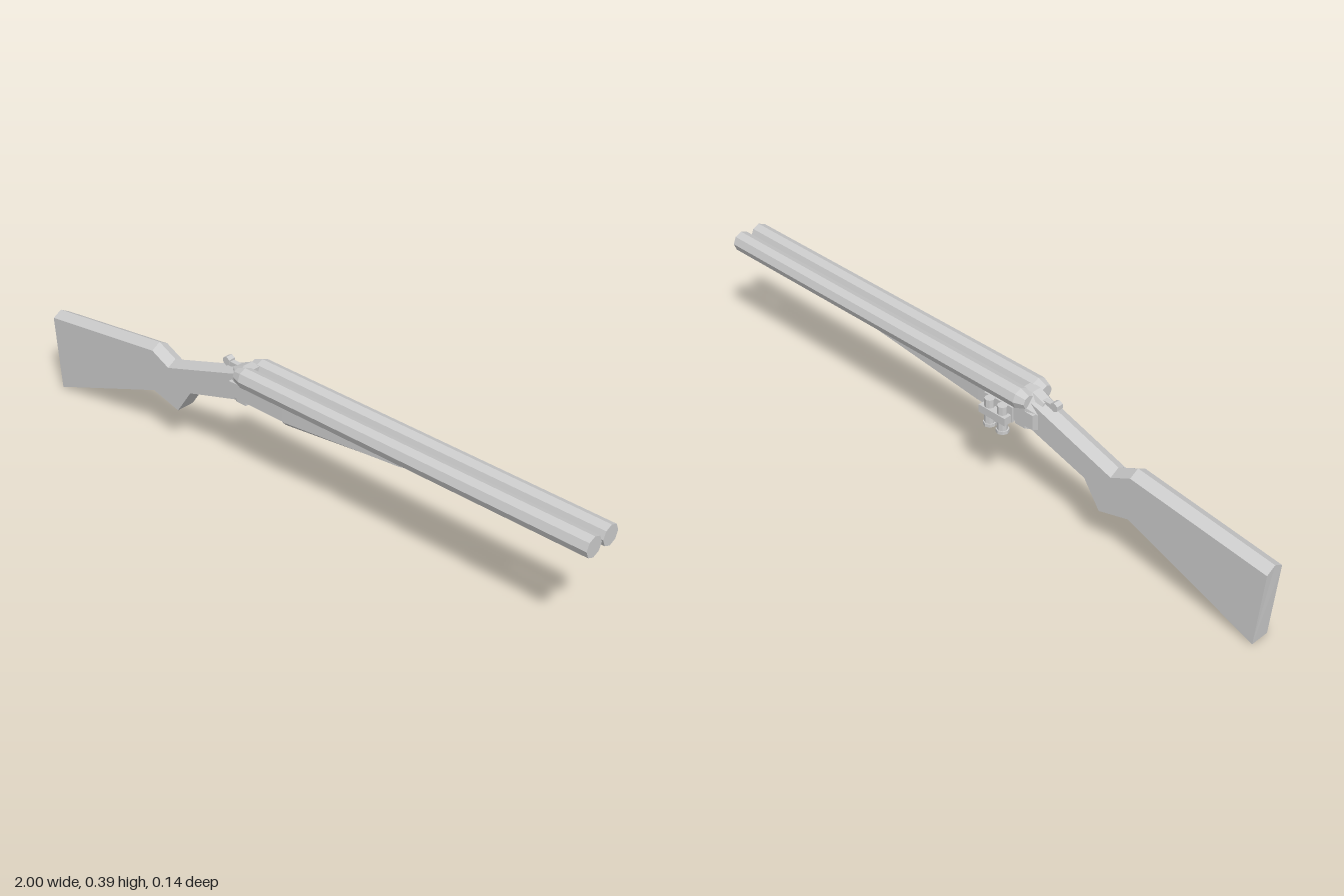
import * as THREE from 'three';

const CZ = 0.007; // centre plane of the gun
const mat = new THREE.MeshStandardMaterial({ color: 0xcccccc, flatShading: true });

export function createModel() {
  const group = new THREE.Group();

  const add = (name, geometry, x = 0, y = 0, z = 0) => {
    const mesh = new THREE.Mesh(geometry, mat);
    mesh.name = name;
    mesh.position.set(x, y, z);
    group.add(mesh);
    return mesh;
  };
  const box = (name, x0, x1, y0, y1, z0, z1) =>
    add(name, new THREE.BoxGeometry(x1 - x0, y1 - y0, z1 - z0),
      (x0 + x1) / 2, (y0 + y1) / 2, (z0 + z1) / 2);

  // Joins closed cross-sections that follow one another along +x, with end caps
  const loft = (sections) => {
    const n = sections[0].length, index = [];
    sections.slice(1).forEach((_, s) => {
      for (let i = 0; i < n; i++) {
        const a = s * n + i, b = s * n + (i + 1) % n;
        index.push(a, a + n, b, b, a + n, b + n);
      }
    });
    const last = (sections.length - 1) * n;
    for (let i = 1; i < n - 1; i++) {
      index.push(0, i, i + 1, last, last + i + 1, last + i);
    }
    const g = new THREE.BufferGeometry();
    g.setAttribute('position', new THREE.Float32BufferAttribute(sections.flat(2), 3));
    g.setIndex(index);
    const flat = g.toNonIndexed();
    flat.computeVertexNormals();
    return flat;
  };

  // Stock: slab sides with a low ridge along the top
  const stockSection = ([xt, yt, xb, yb]) => {
    const w = 0.03, side = yt - 0.017;
    return [[xb, yb, -w], [xb, yb, w], [xt, side, w], [xt, yt, 0], [xt, side, -w]];
  };
  add('stock', loft([
    [-1, 0.253, -0.98, 0],
    [-0.555, 0.31, -0.555, 0.16],
    [-0.49, 0.278, -0.455, 0.132],
    [-0.4, 0.307, -0.4, 0.212],
    [-0.2, 0.372, -0.2, 0.272],
  ].map(stockSection)), 0, 0, CZ);

  // Breech: flares out from the wrist to the barrels
  const breechSection = ([x, y0, y1, w, top]) => [
    [x, y0, -w], [x, y0, w], [x, y1 - 0.035, w], [x, y1, top], [x, y1, -top], [x, y1 - 0.035, -w],
  ];
  add('breech', loft([
    [-0.235, 0.28, 0.36, 0.028, 0.014],
    [-0.195, 0.275, 0.378, 0.045, 0.016],
    [-0.16, 0.275, 0.378, 0.045, 0.016],
  ].map(breechSection)), 0, 0, CZ);

  // Receiver and fore-end: chamfered underside, narrowing to the tip
  const foreSection = ([x, y0, y1, top, bottomW, sideW]) => [
    [x, y0, -bottomW], [x, y0, bottomW], [x, y1, sideW],
    [x, top, sideW], [x, top, -sideW], [x, y1, -sideW],
  ];
  add('receiver', loft([
    [-0.225, 0.277, 0.284, 0.33, 0.03, 0.045],
    [-0.02, 0.277, 0.284, 0.335, 0.03, 0.045],
  ].map(foreSection)), 0, 0, CZ);
  add('foreEnd', loft([
    [-0.02, 0.266, 0.282, 0.335, 0.03, 0.045],
    [0.39, 0.303, 0.313, 0.338, 0.018, 0.034],
    [0.425, 0.311, 0.318, 0.338, 0.013, 0.026],
  ].map(foreSection)), 0, 0, CZ);

  // Twin eight-sided barrels with chamfered rear ends
  const profile = [[0, -0.2], [0.02, -0.2], [0.031, -0.17], [0.031, 1], [0, 1]]
    .map(([r, y]) => new THREE.Vector2(r, y));
  for (const [name, side] of [['frontBarrel', 1], ['backBarrel', -1]]) {
    const barrel = add(name, new THREE.LatheGeometry(profile, 8), 0, 0.357, CZ + side * 0.034);
    barrel.rotation.z = -Math.PI / 2;
  }
  box('barrelRib', -0.2, 0.85, 0.335, 0.358, CZ - 0.01, CZ + 0.01);

  // Opening lever on top of the wrist
  const lever = new THREE.Group();
  lever.name = 'topLever';
  const knob = add('leverKnob', new THREE.CylinderGeometry(0.014, 0.014, 0.022, 6), -0.268, 0.362, CZ);
  knob.rotation.x = Math.PI / 2;
  const arm = box('leverArm', -0.268, -0.2, 0.35, 0.364, CZ - 0.008, CZ + 0.008);
  lever.add(knob, arm);
  group.add(lever);

  // Holder with two spare shells on the back side
  box('holderPlate', -0.155, -0.05, 0.276, 0.325, -0.044, -0.03);
  box('holderBand', -0.152, -0.055, 0.276, 0.3, -0.07, -0.025);
  for (const x of [-0.128, -0.08]) {
    add('shell', new THREE.CylinderGeometry(0.015, 0.015, 0.083, 8), x, 0.284, -0.053);
    add('shellRim', new THREE.CylinderGeometry(0.019, 0.019, 0.01, 8), x, 0.244, -0.052);
  }
  box('holderClip', -0.118, -0.09, 0.24, 0.28, -0.046, -0.026);

  return group;
}
